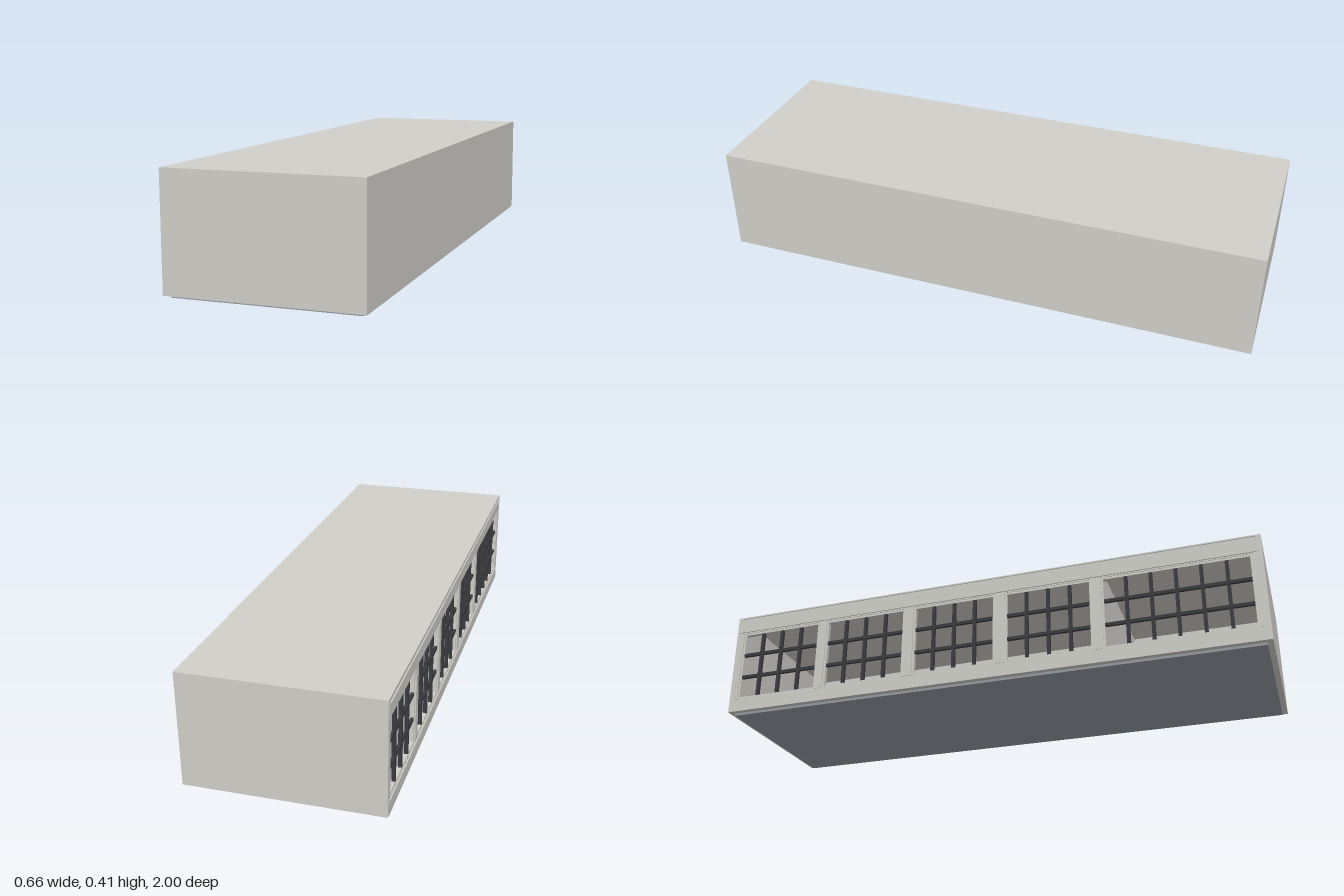
import * as THREE from 'three';

export function createModel() {
  const model = new THREE.Group();
  const mat = (name, color) => {
    const m = new THREE.MeshStandardMaterial({ color });
    m.name = name;
    return m;
  };
  const plaster = mat('plaster', 0xd0cfc9);
  const slate = mat('slate floor', 0x9499a1);
  const iron = mat('dark iron', 0x3b3c3f);

  // Box given by its min and max corners
  const block = (name, material, x0, x1, y0, y1, z0, z1, parent = model) => {
    const mesh = new THREE.Mesh(new THREE.BoxGeometry(x1 - x0, y1 - y0, z1 - z0), material);
    mesh.position.set((x0 + x1) / 2, (y0 + y1) / 2, (z0 + z1) / 2);
    mesh.name = name;
    parent.add(mesh);
    return mesh;
  };

  const X = 0.332, T = 0.019, BASE = 0.009, TOP = 0.4, SPLIT = 0.43;
  const inX = X - T, inZ = 1 - T;

  // Staggered floor tiles
  const floor = new THREE.Group();
  floor.name = 'floor';
  model.add(floor);
  const columns = 8, tileW = 2 * inX / columns, tileL = 2 * inZ / 8;
  for (let i = 0; i < columns; i++) {
    const shift = i % 2 ? tileL / 2 : 0;
    for (let z = -inZ - shift; z < inZ - 1e-6; z += tileL) {
      const x = -inX + i * tileW;
      block('floorTile', slate, x, x + tileW, 0, BASE + 0.002,
        Math.max(z, -inZ), Math.min(z + tileL, inZ), floor);
    }
  }

  // Roof, end walls, long wall in two bays, and the partition
  block('roof', plaster, -X, X, TOP, 0.405, -1, 1);
  block('frontWall', plaster, -X, X, BASE, TOP, inZ, 1);
  block('backWall', plaster, -X, X, BASE, TOP, -1, -inZ);
  block('longWallRear', plaster, inX, X, BASE, TOP, -inZ, SPLIT);
  block('longWallFront', plaster, inX, X, BASE, TOP, SPLIT, inZ);
  block('partition', plaster, -inX, inX, BASE, TOP, SPLIT - 0.008, SPLIT + 0.008);

  // Window wall: solid bands with projecting rails
  block('windowHeader', plaster, -X + 0.003, -inX, 0.335, TOP, -inZ, inZ);
  block('windowApron', plaster, -X + 0.003, -inX, BASE, 0.06, -inZ, inZ);
  block('topRail', plaster, -X - 0.001, -X + 0.004, 0.34, 0.385, -0.995, 0.995);
  block('bottomRail', plaster, -X - 0.001, -X + 0.004, BASE, 0.055, -0.995, 0.995);

  // Windows: [start z, end z, columns of panes]
  const bays = [
    [-0.97, -0.645, 4], [-0.615, -0.295, 4], [-0.26, 0.055, 4],
    [0.092, 0.41, 4], [0.445, 0.965, 6],
  ];
  const y0 = 0.06, y1 = 0.335, rows = 3, F = 0.008, B = 0.006;

  // Posts between neighbouring windows and at the corners
  const ends = [-inZ, ...bays.flatMap(([a, b]) => [a, b]), inZ];
  for (let i = 0; i < ends.length; i += 2) {
    block('post', plaster, -X + 0.001, -inX, y0, y1, ends[i], ends[i + 1]);
  }

  for (const [a, b, cols] of bays) {
    const win = new THREE.Group();
    win.name = 'window';
    model.add(win);
    const fx0 = -X + 0.005, fx1 = -inX + 0.001;
    // Pale surround
    block('sill', plaster, fx0, fx1, y0, y0 + F, a, b, win);
    block('lintel', plaster, fx0, fx1, y1 - F, y1, a, b, win);
    block('jamb', plaster, fx0, fx1, y0 + F, y1 - F, a, a + F, win);
    block('jamb', plaster, fx0, fx1, y0 + F, y1 - F, b - F, b, win);
    // Dark glazing bars
    const bx0 = -X + 0.005, bx1 = -X + 0.017;
    for (let c = 1; c < cols; c++) {
      const z = a + (b - a) * c / cols;
      block('uprightBar', iron, bx0, bx1, y0 + F, y1 - F, z - B, z + B, win);
    }
    for (let r = 1; r < rows; r++) {
      const y = y0 + (y1 - y0) * r / rows;
      block('crossBar', iron, bx0 + 0.001, bx1 - 0.001, y - B, y + B, a + F, b - F, win);
    }
  }
  return model;
}
